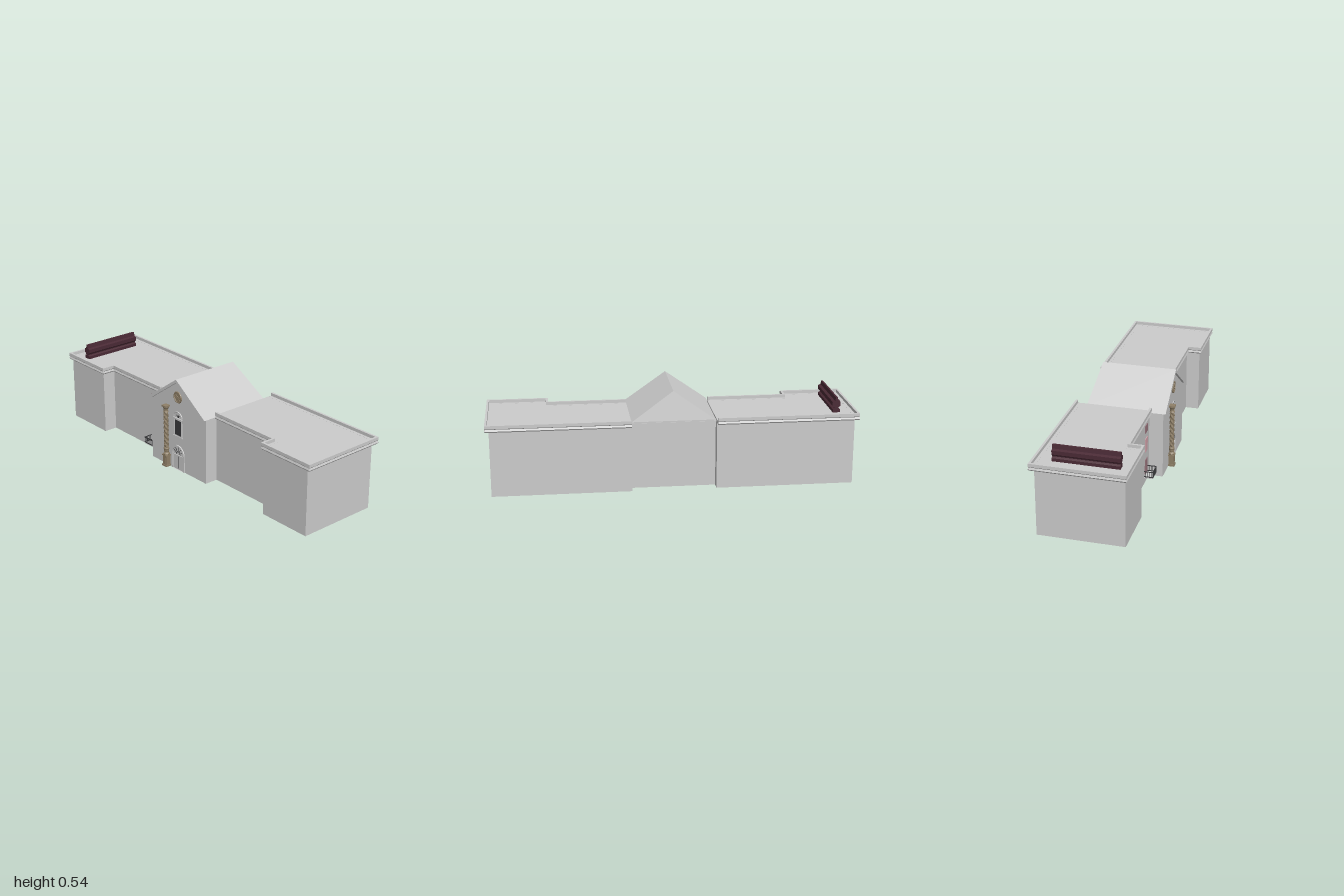
import * as THREE from 'three';

const material = (color) => new THREE.MeshStandardMaterial({ color, flatShading: true, side: THREE.DoubleSide });
const grey = material(0xcccccc);
const stone = material(0x8f8068);
const dark = material(0x3a3a3c);
const plum = material(0x4a2a35);
const pink = material(0xd8a8b0);
const mauve = material(0x9c7880);

function add(parent, name, geometry, mat = grey, x = 0, y = 0, z = 0) {
  const mesh = new THREE.Mesh(geometry, mat);
  mesh.name = name;
  mesh.position.set(x, y, z);
  parent.add(mesh);
  return mesh;
}
const box = (w, h, d) => new THREE.BoxGeometry(w, h, d);
const shapeOf = (pts) => new THREE.Shape(pts.map(([x, y]) => new THREE.Vector2(x, y)));
const extrude = (shape, depth) => new THREE.ExtrudeGeometry(shape, { depth, bevelEnabled: false, curveSegments: 16 });
const mirrored = (path) => path.map(([x, z]) => [-x, z]).reverse();

// Sweeps a closed profile of [inset, y] along a plan path of [x, z] with mitred corners
function sweep(path, profile) {
  const pos = [];
  const normals = path.slice(1).map(([x, z], i) => {
    const dx = x - path[i][0], dz = z - path[i][1], l = Math.hypot(dx, dz);
    return [-dz / l, dx / l];
  });
  const rings = path.map(([x, z], i) => {
    const a = normals[Math.max(i - 1, 0)], b = normals[Math.min(i, normals.length - 1)];
    const k = 1 / (1 + a[0] * b[0] + a[1] * b[1]);
    return profile.map(([o, y]) => [x + (a[0] + b[0]) * k * o, y, z + (a[1] + b[1]) * k * o]);
  });
  for (let i = 0; i < rings.length - 1; i++) {
    for (let j = 0; j < profile.length; j++) {
      const n = (j + 1) % profile.length;
      const a = rings[i][j], b = rings[i][n], c = rings[i + 1][n], d = rings[i + 1][j];
      pos.push(...a, ...b, ...c, ...a, ...c, ...d);
    }
  }
  const caps = THREE.ShapeUtils.triangulateShape(profile.map(([x, y]) => new THREE.Vector2(x, y)), []);
  for (const ring of [rings[0], rings.at(-1)]) {
    for (const t of caps) t.forEach((v) => pos.push(...ring[v]));
  }
  const geo = new THREE.BufferGeometry();
  geo.setAttribute('position', new THREE.Float32BufferAttribute(pos, 3));
  geo.computeVertexNormals();
  return geo;
}

// Gable solid whose back end leans forward toward the ridge
function gable(pts, zBack, zFront) {
  const geo = extrude(shapeOf(pts), zFront - zBack);
  const p = geo.attributes.position;
  for (let i = 0; i < p.count; i++) {
    const lean = p.getZ(i) < 0.001 ? 0.027 * (p.getY(i) - 0.37) / 0.165 : 0;
    p.setZ(i, p.getZ(i) + zBack + lean);
  }
  geo.computeVertexNormals();
  return geo;
}

function archShape(halfWidth, spring) {
  const s = new THREE.Shape();
  s.moveTo(-halfWidth, 0).lineTo(halfWidth, 0).lineTo(halfWidth, spring);
  s.absarc(0, spring, halfWidth, 0, Math.PI, false);
  s.lineTo(-halfWidth, 0);
  return s;
}

function makeColumn() {
  const g = new THREE.Group();
  g.name = 'twistedColumn';
  add(g, 'plinth', box(0.036, 0.01, 0.036), stone, 0, 0.005);
  add(g, 'pedestal', box(0.029, 0.055, 0.029), stone, 0, 0.036);
  add(g, 'pedestalPanel', box(0.02, 0.036, 0.031), stone, 0, 0.034);
  add(g, 'pedestalCap', box(0.036, 0.007, 0.036), stone, 0, 0.066);
  const profile = [[0, 0.069], [0.017, 0.069], [0.018, 0.075], [0.015, 0.08], [0.012, 0.084], [0.014, 0.09],
    [0.014, 0.098], [0.016, 0.106], [0.014, 0.111], [0.011, 0.114]];
  add(g, 'columnBase', new THREE.LatheGeometry(profile.map((p) => new THREE.Vector2(...p)), 16), stone);
  // Spiral shaft
  const shaft = new THREE.CylinderGeometry(0.0125, 0.0125, 0.214, 20, 64, true);
  const p = shaft.attributes.position;
  for (let i = 0; i < p.count; i++) {
    const k = 1 + 0.13 * Math.cos(3 * Math.atan2(p.getX(i), p.getZ(i)) + p.getY(i) * 220);
    p.setX(i, p.getX(i) * k);
    p.setZ(i, p.getZ(i) * k);
  }
  shaft.computeVertexNormals();
  add(g, 'shaft', shaft, stone, 0, 0.219);
  const cap = [[0.011, 0.322], [0.015, 0.325], [0.012, 0.329], [0.012, 0.342], [0.017, 0.352], [0.017, 0.358], [0, 0.358]];
  add(g, 'capital', new THREE.LatheGeometry(cap.map((q) => new THREE.Vector2(...q)), 16), stone);
  add(g, 'abacus', box(0.034, 0.008, 0.034), stone, 0, 0.359);
  g.position.set(-0.085, 0, 0.2415);
  return g;
}

function makeDoor() {
  const g = new THREE.Group();
  g.name = 'archedDoor';
  const frame = archShape(0.053, 0.094);
  frame.holes.push(archShape(0.043, 0.094));
  add(g, 'doorFrame', extrude(frame, 0.008));
  add(g, 'doorPanel', extrude(archShape(0.043, 0.094), 0.002));
  add(g, 'transom', box(0.09, 0.006, 0.006), grey, 0, 0.086, 0.003);
  add(g, 'doorSplit', box(0.002, 0.083, 0.005), dark, 0, 0.042, 0.001);
  add(g, 'fanlightHub', new THREE.TorusGeometry(0.016, 0.002, 4, 12, Math.PI), dark, 0, 0.091, 0.003);
  for (let i = 1; i < 6; i++) {
    const a = i * Math.PI / 6;
    const bar = add(g, 'fanlightBar', box(0.027, 0.002, 0.003), dark, Math.cos(a) * 0.03, 0.091 + Math.sin(a) * 0.03, 0.003);
    bar.rotation.z = a;
  }
  g.position.set(-0.001, 0, 0.2245);
  return g;
}

function makeCentralWindow() {
  const g = new THREE.Group();
  g.name = 'centralWindow';
  const frame = shapeOf([[-0.034, 0.198], [0.034, 0.198], [0.034, 0.304], [-0.034, 0.304]]);
  frame.holes.push(shapeOf([[-0.027, 0.206], [0.027, 0.206], [0.027, 0.296], [-0.027, 0.296]]));
  add(g, 'windowFrame', extrude(frame, 0.006));
  add(g, 'windowPane', box(0.056, 0.092, 0.003), dark, 0, 0.251, 0.001);
  add(g, 'windowSill', box(0.074, 0.006, 0.009), grey, 0, 0.2, 0.004);
  add(g, 'windowHead', box(0.074, 0.005, 0.009), grey, 0, 0.306, 0.004);
  const hood = new THREE.TorusGeometry(0.036, 0.003, 4, 14, Math.PI);
  hood.scale(0.95, 0.85, 1);
  add(g, 'windowHood', hood, grey, 0, 0.313, 0.002);
  for (const a of [-0.8, 0, 0.8]) {
    const leaf = add(g, 'crestLeaf', new THREE.ConeGeometry(0.005, 0.02, 4), dark, -Math.sin(a) * 0.012, 0.314 + Math.cos(a) * 0.01, 0.002);
    leaf.rotation.z = a;
  }
  g.position.z = 0.2245;
  return g;
}

function makeBalcony() {
  const g = new THREE.Group();
  g.name = 'balcony';
  add(g, 'balconyFloor', box(0.076, 0.005, 0.048), grey, 0, 0.037, 0.024);
  for (const y of [0.043, 0.073]) {
    add(g, 'frontRail', box(0.078, 0.004, 0.004), dark, 0, y, 0.048);
    for (const s of [-1, 1]) add(g, 'sideRail', box(0.004, 0.004, 0.048), dark, s * 0.037, y, 0.024);
  }
  for (let i = 0; i <= 8; i++) add(g, 'frontBar', box(0.002, 0.034, 0.002), dark, -0.037 + i * 0.00925, 0.057, 0.048);
  for (const s of [-1, 1]) for (let i = 1; i < 5; i++) add(g, 'sideBar', box(0.002, 0.034, 0.002), dark, s * 0.037, 0.057, i * 0.0096);
  g.position.set(-0.296, 0, 0.15);
  return g;
}

export function createModel() {
  const model = new THREE.Group();
  model.name = 'building';

  // Side wings with stepped fronts, and their parapet cornices
  const wing = [[0.2, -0.23], [0.978, -0.23], [0.978, 0.226], [0.674, 0.226], [0.674, 0.15], [0.2, 0.15]];
  const edge = [[0.23, -0.255], [1, -0.255], [1, 0.238], [0.66, 0.238], [0.66, 0.165], [0.23, 0.165]];
  const cornice = [[0.03, 0.363], [0.005, 0.363], [0, 0.37], [0.004, 0.38], [0.001, 0.384], [0.001, 0.401],
    [0.013, 0.401], [0.013, 0.384], [0.03, 0.384]];
  // Wings stop at the centre block so its recessed back stays clear
  const plan = wing.map(([x, z]) => [Math.max(x, 0.228), z]);
  for (const [side, f] of [['left', (p) => p], ['right', mirrored]]) {
    const walls = extrude(shapeOf(f(plan).map(([x, z]) => [x, -z])), 0.3835);
    walls.rotateX(-Math.PI / 2);
    add(model, side + 'Wing', walls);
    add(model, side + 'Cornice', sweep(f(edge), cornice));
  }

  // Central block with gabled roof
  add(model, 'centreBlock', box(0.456, 0.37, 0.406), grey, 0, 0.185, 0.023);
  add(model, 'backEave', box(0.46, 0.014, 0.02), grey, 0, 0.37, -0.185);
  add(model, 'gableRoof', gable([[-0.228, 0.369], [0.228, 0.369], [0, 0.531]], -0.195, 0.226));
  add(model, 'rakingCornice', gable([[-0.232, 0.372], [-0.212, 0.368], [0, 0.517], [0.212, 0.368], [0.232, 0.372], [0, 0.535]], -0.195, 0.239));

  // Round gable window
  const rose = new THREE.Group();
  rose.name = 'roundWindow';
  rose.position.set(0, 0.43, 0.227);
  add(rose, 'roundFrame', new THREE.TorusGeometry(0.029, 0.005, 6, 24), stone);
  add(rose, 'roundPane', new THREE.CircleGeometry(0.028, 24), stone, 0, 0, 0.001);
  add(rose, 'roundBoss', new THREE.TorusGeometry(0.008, 0.002, 4, 12), stone, 0, 0, 0.002);
  for (let i = 0; i < 4; i++) add(rose, 'roundSpoke', box(0.054, 0.002, 0.003), stone, 0, 0, 0.002).rotation.z = i * Math.PI / 4;
  model.add(rose);

  model.add(makeColumn(), makeDoor(), makeCentralWindow(), makeBalcony());

  // Stacked windows of the recessed front
  for (const [name, y, h, mat] of [['upperWindow', 0.311, 0.042, mauve], ['middleWindow', 0.218, 0.076, pink], ['lowerWindow', 0.092, 0.082, mauve]]) {
    add(model, name, box(0.046, h, 0.006), mat, -0.297, y, 0.151);
  }

  // Long moulded rail on the flat roof
  const half = [[0.02, 0.382], [0.02, 0.4], [0.01, 0.406], [0.012, 0.412], [0.022, 0.421], [0.022, 0.442], [0.008, 0.447], [0.005, 0.468]];
  const outline = [...half, ...half.map(([x, y]) => [-x, y]).reverse()];
  add(model, 'roofRail', extrude(shapeOf(outline), 0.345), plum, -0.892, 0, -0.162);
  return model;
}
